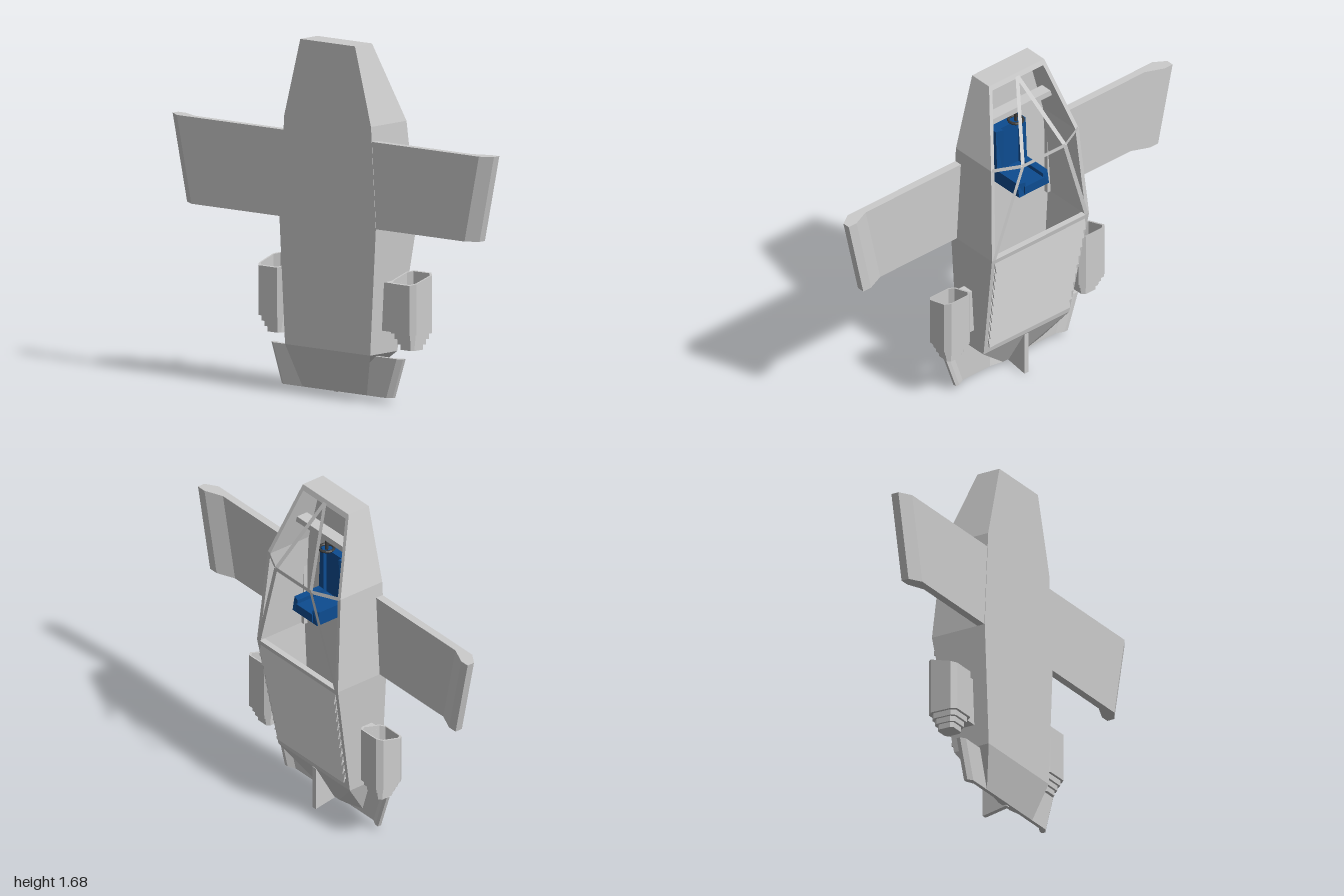
import * as THREE from 'three';

const grey = new THREE.MeshStandardMaterial({ color: 0xcccccc, flatShading: true });
const thin = new THREE.MeshStandardMaterial({ color: 0xcccccc, flatShading: true, side: THREE.DoubleSide });
const blue = new THREE.MeshStandardMaterial({ color: 0x0d4c90, flatShading: true });
const dark = new THREE.MeshStandardMaterial({ color: 0x3a3a3a, flatShading: true });

// Joins loops of [x, y, z] points and caps both ends; loops follow each other along +y.
function loft(name, loops, material = grey) {
  const flat = loops[0].map((p) => new THREE.Vector2(p[0], p[2]));
  if (THREE.ShapeUtils.area(flat) < 0) {
    loops = loops.map((l) => [...l].reverse());
    flat.reverse();
  }
  const out = [];
  const n = flat.length;
  for (let k = 0; k + 1 < loops.length; k++) {
    const a = loops[k], b = loops[k + 1];
    for (let i = 0; i < n; i++) {
      const j = (i + 1) % n;
      out.push(...a[i], ...b[i], ...b[j], ...a[i], ...b[j], ...a[j]);
    }
  }
  const last = loops[loops.length - 1];
  for (const tri of THREE.ShapeUtils.triangulateShape(flat, [])) {
    if (THREE.ShapeUtils.area(tri.map((i) => flat[i])) < 0) tri.reverse();
    const [p, q, r] = tri;
    out.push(...loops[0][p], ...loops[0][q], ...loops[0][r]);
    out.push(...last[r], ...last[q], ...last[p]);
  }
  return finish(name, out, material);
}

function finish(name, positions, material) {
  const g = new THREE.BufferGeometry();
  g.setAttribute('position', new THREE.Float32BufferAttribute(positions, 3));
  g.computeVertexNormals();
  const m = new THREE.Mesh(g, material);
  m.name = name;
  return m;
}

function box(name, x0, x1, y0, y1, z0, z1, material = grey) {
  const m = new THREE.Mesh(new THREE.BoxGeometry(x1 - x0, y1 - y0, z1 - z0), material);
  m.position.set((x0 + x1) / 2, (y0 + y1) / 2, (z0 + z1) / 2);
  m.name = name;
  return m;
}

// Flat strip from a to b, w is half its width as a vector
function ribbon(name, a, b, w) {
  const c = (p, s) => p.map((v, i) => v + s * w[i]);
  const q = [c(a, -1), c(b, -1), c(b, 1), c(a, 1)];
  return finish(name, [q[0], q[1], q[2], q[0], q[2], q[3]].flat(), thin);
}

// Hull stations: height, half width, z of the upper edge
const stations = [[0.23, 0.265, -0.03], [0.83, 0.3, -0.13], [1.31, 0.27, -0.09], [1.68, 0.17, 0.04]];
const BELLY = 0.16, WALL = 0.02;
function hullAt(y) {
  let i = 0;
  while (i < 2 && y > stations[i + 1][0]) i++;
  const [a, b] = [stations[i], stations[i + 1]];
  const t = (y - a[0]) / (b[0] - a[0]);
  return [a[1] + (b[1] - a[1]) * t, a[2] + (b[2] - a[2]) * t];
}
const rect = (y, w, z0, z1) => [[-w, y, z0], [w, y, z0], [w, y, z1], [-w, y, z1]];

// Wing half with an upswept tip: f is the flat thickness, tip the bent width
function wing(name, s, xIn, xTop, xLow, yLow, yTop, z, f, tip) {
  const loop = (y, e) => [[xIn, z], [e - tip, z], [e, z - f], [e, z - 2 * f], [e - tip * 0.8, z - 2 * f],
    [e - tip * 2.3, z - f], [xIn, z - f]].map(([x, zz]) => [s * x, y, zz]);
  return loft(name, [loop(yLow, xLow), loop(yTop, xTop)]);
}

function engine(s) {
  const g = new THREE.Group();
  g.name = s > 0 ? 'leftEngine' : 'rightEngine';
  const cx = 0.415, cz = 0.035;
  const outline = [[-0.08, -0.05], [-0.055, -0.075], [0.055, -0.075], [0.08, -0.05],
    [0.075, 0.055], [0.055, 0.08], [-0.06, 0.08], [-0.08, 0.055]];
  const ring = (k, y) => outline.map(([x, z]) => [s * (cx + x * k), y(cz + z * k), cz + z * k]);
  const slant = (z) => 0.575 + (0.115 - z) * 0.29;
  // Hollow intake with slanted lip
  g.add(loft('nacelle', [ring(1, () => 0.34), ring(1, slant), ring(0.88, slant), ring(0.88, () => 0.4)]));
  // Stepped exhaust
  [0.84, 0.7, 0.56].forEach((k, i) => {
    const y = 0.34 - i * 0.026;
    g.add(loft('exhaustStep', [ring(k, () => y - 0.027), ring(k, () => y)]));
  });
  const px = [s * 0.265, s * 0.345].sort((a, b) => a - b);
  g.add(box('pylon', px[0], px[1], 0.34, 0.57, 0.03, 0.085));
  return g;
}

export function createModel() {
  const model = new THREE.Group();

  // Open trough hull
  model.add(loft('hull', stations.map(([y, w, t]) => {
    const v = w - WALL, f = BELLY - WALL;
    return [[-w, y, t], [-w, y, BELLY], [w, y, BELLY], [w, y, t], [v, y, t], [v, y, f], [-v, y, f], [-v, y, t]];
  })));
  model.add(loft('nosePlate', [1.655, 1.68].map((y) => {
    const [w, t] = hullAt(y);
    return rect(y, w - 0.001, t, BELLY - 0.001);
  })));

  // Tapering tail with centre fin
  model.add(loft('tail', [
    [[-0.2, 0.03, 0.11], [-0.05, 0.03, 0.08], [0.05, 0.03, 0.08], [0.2, 0.03, 0.11]],
    [[-0.265, 0.23, BELLY], [-0.265, 0.23, -0.03], [0.265, 0.23, -0.03], [0.265, 0.23, BELLY]],
  ]));
  const finShape = new THREE.Shape([[0.03, 0.225], [-0.1, 0.225], [-0.1, 0.025], [0.03, 0.003]]
    .map(([x, y]) => new THREE.Vector2(x, y)));
  const fin = new THREE.Mesh(new THREE.ExtrudeGeometry(finShape, { depth: 0.024, bevelEnabled: false }), grey);
  fin.rotation.y = Math.PI / 2;
  fin.position.x = -0.012;
  fin.name = 'tailFin';
  model.add(fin);

  // Engine deck: cross beam, lower sill and overlapping louvres
  const deck = (name, y0, y1, out0, out1, thick) => {
    const loop = (y, out) => {
      const [w, t] = hullAt(y);
      return rect(y, w - WALL, t - out, t - out + thick);
    };
    model.add(loft(name, [loop(y0, out0), loop(y1, out1)]));
  };
  deck('deckBeam', 0.8, 0.83, 0, 0, 0.03);
  deck('deckSill', 0.23, 0.29, 0, 0, 0.02);
  for (let i = 0; i < 10; i++) {
    const y = 0.275 + i * 0.053;
    deck('louvre', y, y + 0.06, 0.018, -0.002, 0.008);
  }

  // Mirrored wings, tailplanes, engines and canopy struts
  const apex = [0, 1.665, 0.035];
  for (const s of [1, -1]) {
    const side = s > 0 ? 'left' : 'right';
    model.add(wing(side + 'Wing', s, 0.26, 1, 0.91, 0.83, 1.24, BELLY - 0.002, 0.038, 0.06));
    model.add(wing(side + 'Tailplane', s, 0.12, 0.41, 0.345, 0.03, 0.22, 0.11, 0.018, 0.025));
    model.add(engine(s));
    const knee = [s * 0.13, 1.31, -0.155];
    model.add(ribbon('canopyFrontStrut', apex, knee, [0.011, 0, 0]));
    model.add(ribbon('canopyRearStrut', knee, [s * 0.285, 0.83, -0.13], [0.011, 0, 0]));
    model.add(ribbon('canopyHoopSide', [s * 0.265, 1.31, -0.09], knee, [0, 0.01, 0]));
  }
  model.add(ribbon('canopyHoopTop', [-0.13, 1.31, -0.155], [0.13, 1.31, -0.155], [0, 0.01, 0]));

  // Pilot seat facing the nose
  const seat = new THREE.Group();
  seat.name = 'seat';
  seat.add(box('seatCushion', -0.06, 0.06, 1.1, 1.36, 0.09, 0.14, blue));
  seat.add(box('seatBack', -0.06, 0.06, 1.08, 1.125, -0.09, 0.14, blue));
  for (const s of [1, -1]) {
    const bolster = (y0, y1, z0) => loft('seatBolster', [[y0, 0], [y1, 0.012]].map(([y, d]) =>
      [[0.055, z0], [0.092, z0 + d], [0.092, 0.14], [0.055, 0.14]].map(([x, z]) => [s * x, y, z])), blue);
    seat.add(bolster(1.1, 1.36, 0.07), bolster(1.075, 1.145, -0.085));
  }
  model.add(seat);

  // Instrument panel and control yoke
  model.add(box('instrumentPanel', -0.215, 0.215, 1.46, 1.49, 0.03, 0.09));
  const column = new THREE.Mesh(new THREE.CylinderGeometry(0.008, 0.008, 0.06, 8), dark);
  column.position.set(0, 1.435, 0.045);
  column.name = 'yokeColumn';
  const yoke = new THREE.Mesh(new THREE.TorusGeometry(0.035, 0.007, 6, 16), dark);
  yoke.rotation.x = Math.PI / 2;
  yoke.position.set(0, 1.41, 0.045);
  yoke.name = 'yoke';
  model.add(column, yoke);

  return model;
}
